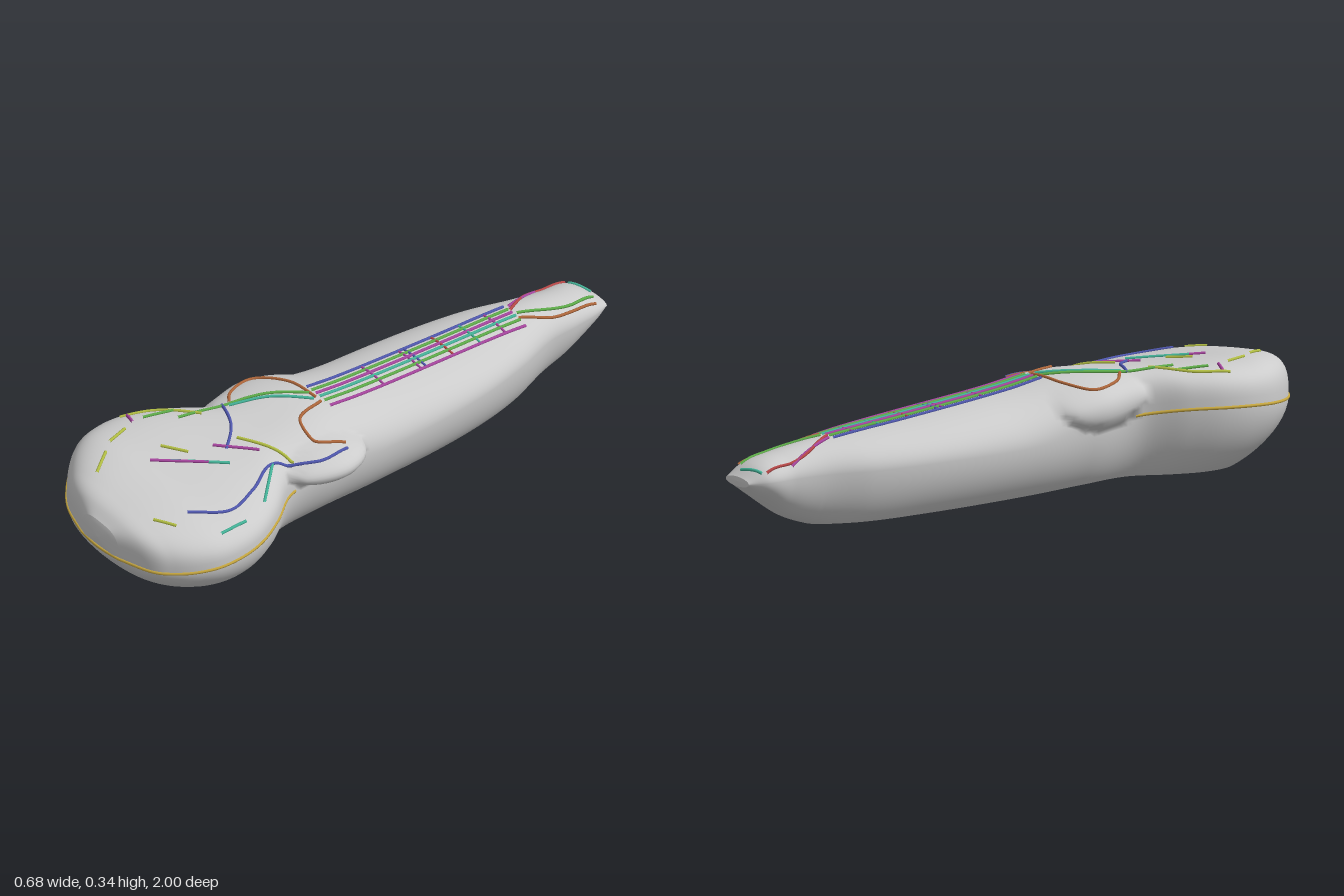
import * as THREE from 'three';

// Stations along the length: z, left x, right x, keel y, top y, widest y
const STATIONS = [
  [-1.0, -0.045, 0.07, 0.15, 0.18, 0.165],
  [-0.95, -0.085, 0.09, 0.11, 0.215, 0.17],
  [-0.85, -0.09, 0.1, 0.04, 0.238, 0.17],
  [-0.75, -0.105, 0.105, 0.0, 0.252, 0.17],
  [-0.6, -0.155, 0.15, -0.04, 0.265, 0.17],
  [-0.4, -0.19, 0.19, -0.05, 0.278, 0.17],
  [0.0, -0.21, 0.205, -0.05, 0.31, 0.17],
  [0.2, -0.2, 0.2, -0.05, 0.332, 0.185],
  [0.38, -0.19, 0.2, -0.06, 0.322, 0.19],
  [0.5, -0.275, 0.275, -0.065, 0.314, 0.195],
  [0.6, -0.325, 0.32, -0.065, 0.312, 0.192],
  [0.7, -0.34, 0.335, -0.05, 0.31, 0.187],
  [0.8, -0.315, 0.32, -0.01, 0.31, 0.18],
  [0.9, -0.235, 0.26, 0.05, 0.297, 0.172],
  [0.95, -0.165, 0.2, 0.1, 0.282, 0.17],
  [0.985, -0.07, 0.1, 0.145, 0.255, 0.17],
];
const spline = new THREE.CubicInterpolant(
  STATIONS.map((s) => s[0]), STATIONS.flatMap((s) => s.slice(1)), 5);

// Shoulders bulging from the sides where the neck meets the body
const SHOULDERS = [
  { side: 1, y: 0.233, z: 0.235, tall: 0.054, long: 0.145, out: 0.088 },
  { side: -1, y: 0.27, z: 0.235, tall: 0.085, long: 0.16, out: 0.05 },
];
const LOW = 16, HIGH = 56;

function station(z) {
  const [l, r, keel, top, rim] = spline.evaluate(z);
  const k = THREE.MathUtils.smoothstep(z, -0.1, 0.5);
  return { cx: (l + r) / 2, w: (r - l) / 2, keel, top, rim, n: 2 + 1.3 * k, lean: -0.46 * k };
}

// Height of the upper skin at fraction u of the half width
function upper(s, u) {
  const y = s.rim + (s.top - s.rim) * Math.pow(Math.max(0, 1 - Math.abs(u) ** s.n), 1 / s.n);
  return y * (1 + s.lean * (s.cx + u * s.w));
}

function bulge(p, s) {
  const u = (p.x - s.cx) / s.w;
  for (const b of SHOULDERS) {
    const d = 1 - ((p.y - b.y) / b.tall) ** 2 - ((p.z - b.z) / b.long) ** 2;
    if (d > 0) p.x += b.side * b.out * Math.sqrt(d) * THREE.MathUtils.smoothstep(u * b.side, 0.35, 0.95);
  }
  return p;
}

// Cross-section running from the left bottom edge over the top to the right
function section(z) {
  const s = station(z), pts = [];
  const h = s.rim - s.keel;
  const end = Math.asin(Math.min(1, s.rim / h));
  const low = (side, phi) => {
    const x = s.cx + side * s.w * Math.cos(phi);
    return new THREE.Vector3(x, Math.max(0, (s.rim - h * Math.sin(phi)) * (1 + s.lean * x)), z);
  };
  for (let j = 0; j < LOW; j++) pts.push(low(-1, end * (1 - j / LOW)));
  for (let j = 0; j <= HIGH; j++) {
    const u = -Math.cos((Math.PI * j) / HIGH);
    pts.push(new THREE.Vector3(s.cx + u * s.w, upper(s, u), z));
  }
  for (let j = 1; j <= LOW; j++) pts.push(low(1, (end * j) / LOW));
  return pts.map((p) => bulge(p, s));
}

// Highest point of the skin above x, z
function surfaceY(x, z) {
  const ring = section(z);
  let y = 0.17;
  for (let j = 1; j < ring.length; j++) {
    const a = ring[j - 1], b = ring[j];
    const t = (x - a.x) / (b.x - a.x);
    if (t >= 0 && t <= 1) y = Math.max(y, a.y + t * (b.y - a.y));
  }
  return y;
}

function hullGeometry() {
  const N = 170, rings = [];
  for (let i = 0; i <= N; i++) rings.push(section(-0.0075 - 0.9925 * Math.cos((Math.PI * i) / N)));
  // Close both tips with rings that shrink to a point
  const shrink = (ring, f, dz) => {
    const c = ring.reduce((a, p) => a.add(p), new THREE.Vector3()).divideScalar(ring.length);
    return ring.map((p) => p.clone().lerp(c, f).add(new THREE.Vector3(0, 0, dz)));
  };
  // Work on copies so the end rings stay in place
  const copy = (ring) => ring.map((p) => p.clone());
  const back = rings[0], front = rings[N];
  rings.unshift(shrink(copy(back), 1, -0.002));
  for (const [f, dz] of [[0.25, 0.006], [0.6, 0.01], [1, 0.012]]) rings.push(shrink(copy(front), f, dz));
  const m = back.length, index = [];
  for (let i = 0; i < rings.length - 1; i++) {
    for (let j = 0; j < m - 1; j++) {
      const a = i * m + j, c = a + m;
      index.push(a, c, a + 1, a + 1, c, c + 1);
    }
  }
  const g = new THREE.BufferGeometry().setFromPoints(rings.flat());
  g.setIndex(index);
  g.computeVertexNormals();
  return g;
}

function tube(name, color, points, radius) {
  const curve = new THREE.CatmullRomCurve3(points);
  const mesh = new THREE.Mesh(
    new THREE.TubeGeometry(curve, points.length * 2, radius, 6),
    new THREE.MeshStandardMaterial({ color }));
  mesh.name = name;
  return mesh;
}

// A line through [x, z] points, laid on the upper skin
function drape(name, color, path, radius = 0.005) {
  const plan = new THREE.CatmullRomCurve3(path.map(([x, z]) => new THREE.Vector3(x, 0, z)));
  const pts = plan.getPoints(24);
  pts.forEach((p) => { p.y = surfaceY(p.x, p.z) + 0.002; });
  return tube(name, color, pts, radius);
}

export function createModel() {
  const model = new THREE.Group();
  model.name = 'stringedInstrument';

  // Hollow hull, open underneath
  const hull = new THREE.Mesh(hullGeometry(),
    new THREE.MeshStandardMaterial({ color: 0xcccccc, side: THREE.DoubleSide }));
  hull.name = 'hull';
  model.add(hull);

  const GREEN = 0x5fae4a, PURPLE = 0xa846a0, TEAL = 0x45b59a, BLUE = 0x5058b0;
  const ORANGE = 0xb0683c, RED = 0xb84848, YELLOW = 0xc8a840, LIME = 0xb4c044;

  // Strings and frets on the neck
  [[-0.03, BLUE], [-0.008, GREEN], [0.012, PURPLE], [0.03, TEAL], [0.052, GREEN], [0.078, PURPLE]].forEach(([x, color]) =>
    model.add(drape('string', color, [[x, 0.12], [x, -0.25], [x * 0.95, -0.67]])));
  [[-0.59, PURPLE], [-0.49, TEAL], [-0.38, RED], [-0.27, BLUE], [-0.25, PURPLE], [-0.1, PURPLE]].forEach(([z, color]) =>
    model.add(drape('fret', color, [[-0.03, z], [0.08, z]], 0.004)));

  // Lines at the narrow tip, over the shoulders and on the body
  const lines = [
    ['tipLine', RED, [[0, -0.67], [-0.06, -0.8], [-0.068, -0.95]]],
    ['tipLine', PURPLE, [[-0.02, -0.68], [-0.075, -0.86]]],
    ['tipLine', ORANGE, [[0.04, -0.67], [0.075, -0.78], [0.075, -0.95]]],
    ['tipLine', GREEN, [[0.02, -0.68], [0.06, -0.84], [0.05, -0.96]]],
    ['tipLine', TEAL, [[-0.06, -0.96], [0.02, -0.98]]],
    ['shoulderLine', ORANGE, [[0.03, 0.13], [-0.1, 0.14], [-0.19, 0.2], [-0.17, 0.3], [-0.12, 0.35]]],
    ['shoulderLine', ORANGE, [[0.05, 0.13], [0.08, 0.24], [0.16, 0.25], [0.21, 0.17]]],
    ['shoulderLine', GREEN, [[0, 0.13], [-0.08, 0.25], [-0.13, 0.4], [-0.16, 0.52]]],
    ['shoulderLine', TEAL, [[0.03, 0.14], [-0.06, 0.25], [-0.11, 0.36]]],
    ['bodyLine', BLUE, [[0.23, 0.18], [0.23, 0.28], [0.16, 0.42], [0.21, 0.54], [0.24, 0.66], [0.18, 0.78]]],
    ['bodyLine', LIME, [[0.02, 0.44], [0.12, 0.38], [0.18, 0.35]]],
    ['bodyLine', BLUE, [[-0.13, 0.37], [-0.03, 0.42], [0.04, 0.5]]],
    ['bodyLine', PURPLE, [[0.1, 0.42], [0, 0.52]]],
    ['bodyLine', TEAL, [[0.16, 0.42], [0.26, 0.54]]],
    ['bodyLine', LIME, [[-0.13, 0.45], [-0.24, 0.54], [-0.29, 0.64]]],
    ['bodyLine', GREEN, [[-0.2, 0.5], [-0.23, 0.6]]],
    ['bridge', TEAL, [[0.09, 0.53], [-0.03, 0.68]]],
    ['bridge', PURPLE, [[0.05, 0.58], [-0.06, 0.72]]],
    ['bridge', LIME, [[-0.02, 0.6], [-0.09, 0.65]]],
    ['bodyLine', LIME, [[-0.22, 0.68], [-0.2, 0.76]]],
    ['bodyLine', LIME, [[-0.17, 0.8], [-0.12, 0.88]]],
    ['bodyLine', PURPLE, [[-0.28, 0.62], [-0.23, 0.64]]],
    ['bodyLine', TEAL, [[0.29, 0.64], [0.29, 0.74]]],
    ['bodyLine', LIME, [[0.14, 0.88], [0.2, 0.84]]],
  ];
  lines.forEach(([name, color, path]) => model.add(drape(name, color, path)));

  // Yellow seam round the widest edge of the body
  const edge = (j) => Array.from({ length: 31 }, (_, i) =>
    section(0.36 + 0.625 * Math.sin((i / 30) * Math.PI / 2))[j]);
  const seam = [...edge(LOW), new THREE.Vector3(0.015, 0.17, 0.995), ...edge(LOW + HIGH).reverse()];
  model.add(tube('seam', YELLOW, seam, 0.005));

  return model;
}
